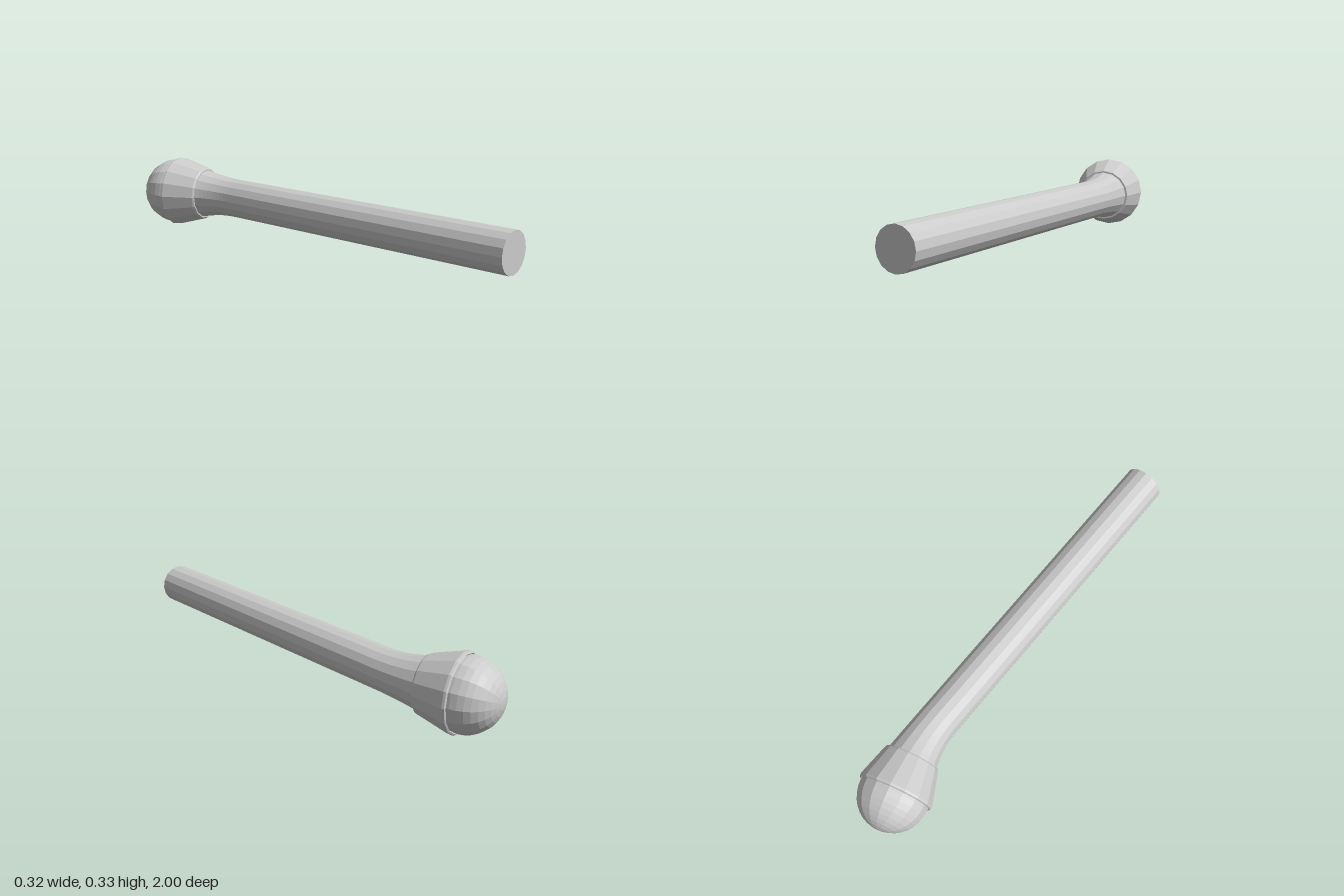
import * as THREE from 'three';

const SIDES = 16;
const TILT = THREE.MathUtils.degToRad(15);
const material = new THREE.MeshStandardMaterial({ color: 0xcccccc, flatShading: true });

// Rings lofted along -z, each turned about y; closed at the first ring
function loft(rings) {
  const pos = [], idx = [];
  for (const { x, z, r, turn } of rings) {
    for (let i = 0; i < SIDES; i++) {
      const a = (i / SIDES) * Math.PI * 2, u = r * Math.cos(a);
      pos.push(x + u * Math.cos(turn), 0.167 + r * Math.sin(a), z - u * Math.sin(turn));
    }
  }
  for (let k = 0; k < rings.length - 1; k++) {
    for (let i = 0; i < SIDES; i++) {
      const j = (i + 1) % SIDES;
      const a = k * SIDES + i, b = k * SIDES + j;
      idx.push(a, b + SIDES, b, a, a + SIDES, b + SIDES);
    }
  }
  for (let i = 1; i < SIDES - 1; i++) idx.push(0, i, i + 1);
  const geo = new THREE.BufferGeometry();
  geo.setAttribute('position', new THREE.Float32BufferAttribute(pos, 3));
  geo.setIndex(idx);
  geo.computeVertexNormals();
  return geo;
}

function addMesh(parent, name, geometry) {
  const mesh = new THREE.Mesh(geometry, material);
  mesh.name = name;
  parent.add(mesh);
  return mesh;
}

export function createModel() {
  const model = new THREE.Group();
  model.name = 'roundHeadedRod';

  // Straight shaft running into a flared, bent neck
  const rings = [{ x: 0.06, z: 1, r: 0.09, turn: 0 }];
  const steps = 8;
  for (let i = 0; i <= steps; i++) {
    const t = i / steps;
    rings.push({
      x: 0.06 - 0.0215 * t * t,
      z: -0.47 - 0.21 * t,
      r: 0.09 + 0.023 * t * t,
      turn: TILT * t,
    });
  }
  addMesh(model, 'shaftAndNeck', loft(rings));

  // Tilted head, its local y running along the head axis from the rim centre
  const head = new THREE.Group();
  head.name = 'head';
  head.position.set(0, 0.167, -0.83);
  head.rotation.set(-Math.PI / 2, TILT, 0, 'YXZ');
  model.add(head);

  // Conical collar with a narrow bevel at each end
  const collar = [
    [0, -0.157], [0.12, -0.157], [0.125, -0.15], [0.166, -0.006],
    [0.165, 0.004], [0.158, 0.008], [0.152, 0.002], [0, 0.002],
  ].map(([r, y]) => new THREE.Vector2(r, y));
  addMesh(head, 'collar', new THREE.LatheGeometry(collar, SIDES));

  // Domed cap
  const dome = new THREE.SphereGeometry(0.155, SIDES, 10, 0, Math.PI * 2, 0, Math.PI * 0.55);
  addMesh(head, 'dome', dome).position.y = 0.016;

  return model;
}
